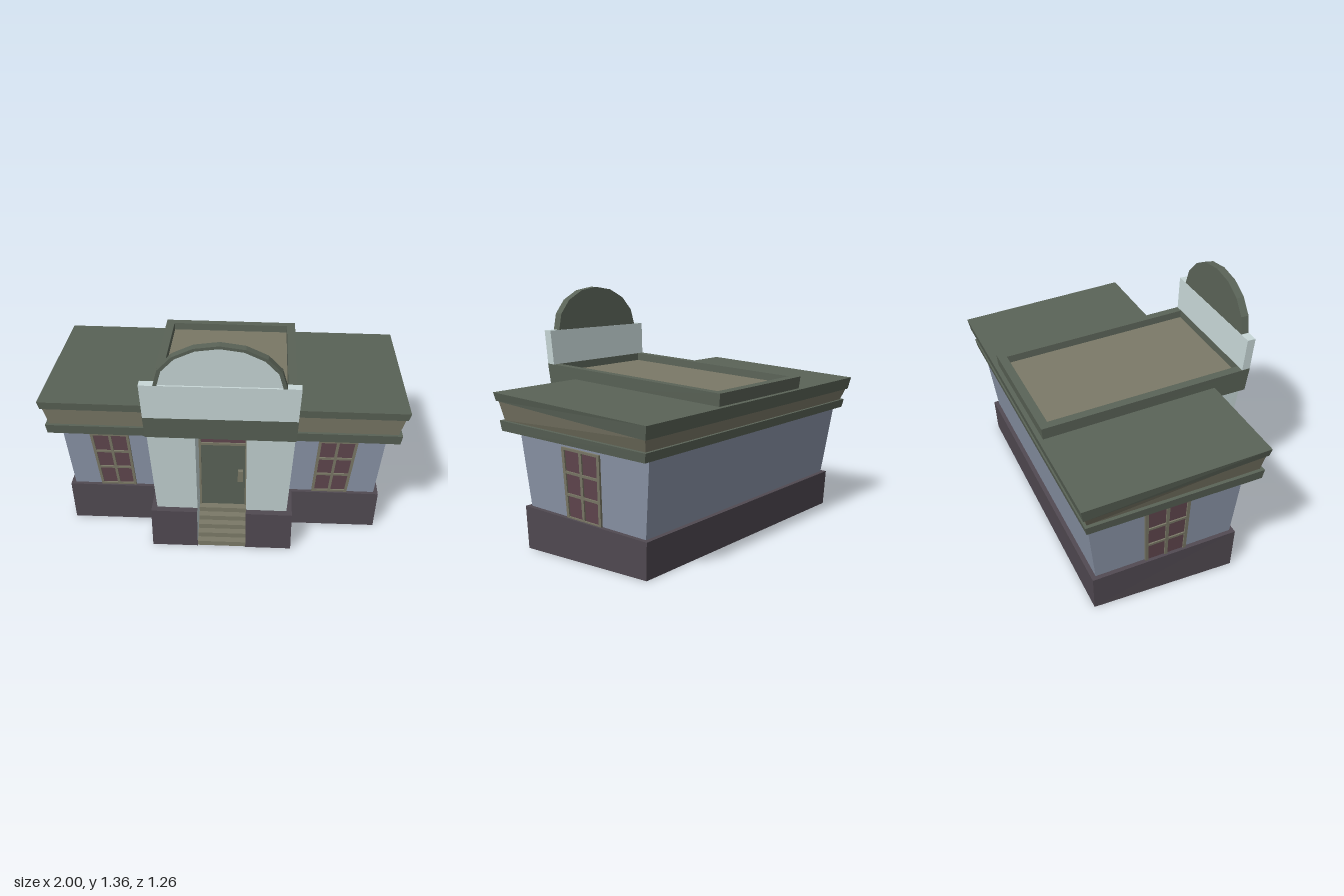
import * as THREE from 'three';

const BLUE = 0x8b95a8, WHITE = 0xc8d8d8, DARK = 0x514a52, GREEN = 0x5a6357, OLIVE = 0x7b7967, MAROON = 0x61474f;

function mesh(name, color, geometry) {
  const material = new THREE.MeshStandardMaterial({ color, flatShading: true, side: THREE.DoubleSide });
  const m = new THREE.Mesh(geometry, material);
  m.name = name;
  return m;
}

// Loft of equal-length point rows; closed joins each row's end to its start.
function skin(name, color, rows, closed = false) {
  const n = rows[0].length, index = [];
  for (let r = 0; r < rows.length - 1; r++) {
    for (let i = 0; i < (closed ? n : n - 1); i++) {
      const j = (i + 1) % n, a = r * n + i, b = r * n + j;
      index.push(a, b, b + n, a, b + n, a + n);
    }
  }
  const g = new THREE.BufferGeometry();
  g.setAttribute('position', new THREE.Float32BufferAttribute(rows.flat(2), 3));
  g.setIndex(index);
  const flat = g.toNonIndexed();
  flat.computeVertexNormals();
  return mesh(name, color, flat);
}

// Box between two corners in (u, v, depth) space, moved into place by map.
function mappedBox(name, color, [u0, u1], [v0, v1], [d0, d1], map) {
  const g = new THREE.BoxGeometry(1, 1, 1).toNonIndexed(), p = g.attributes.position;
  for (let i = 0; i < p.count; i++) {
    const q = map(p.getX(i) > 0 ? u1 : u0, p.getY(i) > 0 ? v1 : v0, p.getZ(i) > 0 ? d1 : d0);
    p.setXYZ(i, ...q);
  }
  g.computeVertexNormals();
  return mesh(name, color, g);
}

const mirror = half => [...half, ...half.map(([x, z]) => [-x, z]).reverse()];
// Plan outline raised to a slightly crooked plane.
const lift = (outline, y, slope) => outline.map(([x, z]) => [x, y + slope * z - 0.006 * x, z]);
const ring = (half, y, slope) => lift(mirror(half), y, slope);
const lerp = THREE.MathUtils.lerp;

// Two-by-three pane window; map takes u, v in 0..1 and an outward depth.
function makeWindow(name, map) {
  const g = new THREE.Group();
  g.name = name;
  g.add(mappedBox('panes', MAROON, [0.02, 0.98], [0.02, 0.98], [-0.004, 0.004], map));
  const bar = (u, v) => g.add(mappedBox('windowBar', OLIVE, u, v, [-0.01, 0.012], map));
  for (const u of [0, 0.46, 0.93]) bar([u, u + 0.07], [0, 1]);
  for (const v of [0, 0.33, 0.64, 0.965]) bar([0, 1], [v, v + 0.035]);
  return g;
}

export function createModel() {
  const model = new THREE.Group();
  model.name = 'building';
  const add = (...parts) => model.add(...parts);

  // Plinth with a gap for the steps
  add(skin('plinth', DARK, [
    ring([[0.135, 0.515], [0.39, 0.515], [0.39, 0.285], [0.875, 0.285], [0.875, -0.525]], 0, 0)
      .map(([x, , z]) => [x, 0, z]),
    ring([[0.135, 0.525], [0.39, 0.525], [0.39, 0.292], [0.885, 0.292], [0.885, -0.535]], 0.225, 0.045),
    ring([[0.135, 0.485], [0.36, 0.485], [0.36, 0.27], [0.86, 0.27], [0.86, -0.51]], 0.225, 0.045),
  ]));

  // Flaring walls
  const wallTop = [[0.36, 0.3], [0.9, 0.3], [0.9, -0.565]];
  add(skin('walls', BLUE, [
    ring([[0.36, 0.27], [0.86, 0.27], [0.86, -0.51]], 0.225, 0.045),
    ring(wallTop, 0.63, 0.04),
  ]));

  // Eaves: lower moulding, frieze, cornice and roof
  const eave = (x, front, back) => [[0.36, front], [x, front], [x, back]];
  const trimTop = ring(eave(0.97, 0.38, -0.6), 0.6825, 0.046);
  const friezeLow = ring(eave(0.95, 0.362, -0.585), 0.6825, 0.046);
  const friezeTop = ring(eave(0.978, 0.375, -0.605), 0.772, 0.085);
  const roofY = [0.827, 0.059];
  add(
    skin('lowerMoulding', GREEN, [ring(wallTop, 0.63, 0.04),
      ring(eave(0.962, 0.372, -0.59), 0.63, 0.04), trimTop, friezeLow]),
    skin('frieze', OLIVE, [friezeLow, friezeTop]),
    skin('cornice', GREEN, [friezeTop, ring(eave(0.988, 0.384, -0.615), 0.772, 0.085),
      ring(eave(1, 0.39, -0.63), ...roofY)]),
    skin('roof', GREEN, [lift([[-1, 0.39], [1, 0.39]], ...roofY), lift([[-1, -0.63], [1, -0.63]], ...roofY)]),
  );

  // Entrance piers and the cheeks beside the steps
  for (const s of [1, -1]) {
    const side = pts => pts.map(([x, z]) => [s * x, z]);
    add(
      skin('entrancePier', WHITE, [
        lift(side([[0.36, 0.27], [0.36, 0.485], [0.135, 0.485], [0.135, 0.3]]), 0.225, 0.045),
        lift(side([[0.39, 0.3], [0.39, 0.55], [0.135, 0.55], [0.135, 0.325]]), 0.775, 0.03),
      ]),
      skin('stepCheek', WHITE, [
        [[s * 0.135, 0, 0.3], [s * 0.135, 0, 0.515]],
        [[s * 0.135, 0.239, 0.3], [s * 0.135, 0.248, 0.525]],
      ]),
    );
  }

  // Steps
  const steps = [];
  for (let i = 0; i < 5; i++) {
    const z = 0.51 - i * 0.04;
    for (const y of [i * 0.029, (i + 1) * 0.029]) steps.push([[-0.135, y, z], [0.135, y, z]]);
  }
  steps.push([[-0.135, 0.145, 0.3], [0.135, 0.145, 0.3]]);
  add(skin('steps', OLIVE, steps));

  // Door, transom light and their frame
  const doorMap = (x, y, d) => [x, y, 0.3 + 0.04 * y + d];
  const door = new THREE.Group();
  door.name = 'door';
  door.add(
    mappedBox('doorLeaf', GREEN, [-0.125, 0.125], [0.145, 0.575], [-0.004, 0.004], doorMap),
    mappedBox('transomLight', MAROON, [-0.125, 0.125], [0.585, 0.77], [-0.004, 0.004], doorMap),
    mappedBox('doorHandle', OLIVE, [0.083, 0.113], [0.325, 0.4], [-0.02, 0.025], doorMap),
  );
  for (const x of [-0.135, 0.123])
    door.add(mappedBox('doorJamb', OLIVE, [x, x + 0.012], [0.145, 0.785], [-0.01, 0.012], doorMap));
  for (const y of [0.572, 0.77])
    door.add(mappedBox('doorRail', OLIVE, [-0.135, 0.135], [y, y + 0.015], [-0.01, 0.012], doorMap));
  add(door);

  // Windows follow the lean of the walls
  for (const s of [1, -1]) {
    add(makeWindow('frontWindow', (u, v, d) => [
      s * lerp(lerp(0.505, 0.53, v), lerp(0.705, 0.747, v), u),
      lerp(0.24, 0.605, v) - 0.006 * s * 0.6,
      lerp(0.2705, 0.297, v) + d,
    ]));
    add(makeWindow('sideWindow', (u, v, d) => [
      s * (lerp(0.86, 0.896, v) + d),
      lerp(0.215, 0.594, v) - 0.012 * u,
      lerp(0, lerp(-0.232, -0.255, v), u),
    ]));
  }

  // Raised central roof with a parapet rim and sunken deck
  const rect = (x, front, back) => [[x, front], [x, back]];
  const underside = ring(rect(0.392, 0.585, -0.6), 0.767, 0.03);
  const deck = ring(rect(0.348, 0.55, -0.56), 0.85, 0.054);
  const cap = r => [[r[0], r[1]], [r[3], r[2]]];
  add(
    skin('parapet', GREEN, [underside, ring(rect(0.4, 0.602, -0.612), 0.8925, 0.054),
      ring(rect(0.35, 0.553, -0.563), 0.8925, 0.054), deck], true),
    skin('parapetUnderside', GREEN, cap(underside)),
    skin('roofDeck', OLIVE, cap(deck)),
  );

  // Blank signboard leaning forward, with an arched top
  const lean = y => 0.07 * (y - 0.92);
  add(mappedBox('signboard', WHITE, [-1, 1], [0.915, 1.115], [0.555, 0.602],
    (u, y, z) => [u * lerp(0.398, 0.408, (y - 0.915) / 0.2), y, z + lean(y)]));

  const arc = (a, b) => Array.from({ length: 9 }, (_, i) =>
    new THREE.Vector2(a * Math.cos(i * Math.PI / 8), b * Math.sin(i * Math.PI / 8)));
  const outer = arc(0.335, 0.24), inner = arc(0.315, 0.224);
  const archPart = (name, color, points, z, depth) => {
    const g = new THREE.ExtrudeGeometry(new THREE.Shape(points), { depth, bevelEnabled: false });
    g.translate(0, 1.115, z);
    const p = g.attributes.position;
    for (let i = 0; i < p.count; i++) p.setZ(i, p.getZ(i) + lean(p.getY(i)));
    g.computeVertexNormals();
    add(mesh(name, color, g));
  };
  archPart('archRim', GREEN, [...outer, ...[...inner].reverse()], 0.556, 0.045);
  archPart('archBack', GREEN, inner, 0.556, 0.01);
  archPart('archPanel', WHITE, inner, 0.567, 0.025);

  return model;
}
